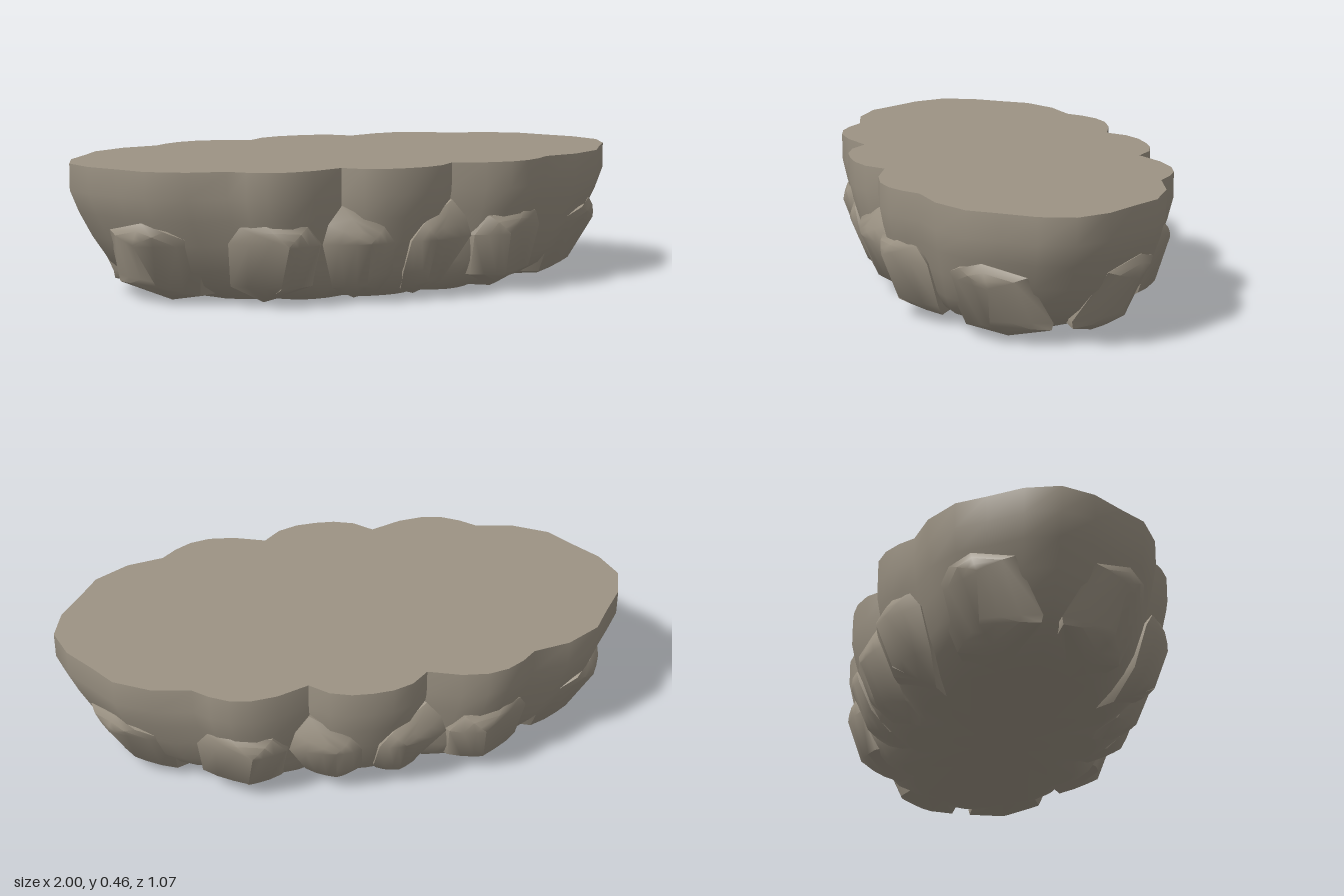
import * as THREE from 'three';
import { toCreasedNormals } from 'three/addons/utils/BufferGeometryUtils.js';

const stone = new THREE.MeshStandardMaterial({ color: 0x9c9384 });
stone.name = 'stone';

// One quarter of the lobed rim, as [x, z]
const rim = [[0, .535], [.07, .53], [.14, .505], [.2, .45], [.31, .49], [.4, .5], [.47, .485], [.53, .45],
  [.58, .405], [.71, .38], [.83, .31], [.89, .22], [.965, .115], [1, 0]];

// Side profile, as [scale, y]
const profile = [[.62, 0], [.72, .03], [.8, .065], [.865, .12], [.925, .21], [.97, .295], [1, .37], [1, .46]];

// Petals: outline and two crest points, as [x, y, z]
const petals = [
  { name: 'middlePetal',
    outline: [[.27, .21, .46], [.25, .275, .46], [.2, .335, .455], [.07, .265, .51], [.03, .21, .505],
      [.02, .1, .46], [.04, .03, .39], [.11, 0, .335], [.2, .045, .37]],
    crest: [[.11, .065, .46], [.12, .215, .52]] },
  { name: 'sidePetal',
    outline: [[.57, .22, .38], [.54, .275, .41], [.47, .285, .455], [.33, .275, .48], [.28, .21, .465],
      [.29, .065, .41], [.42, 0, .3], [.55, .07, .34]],
    crest: [[.41, .065, .445], [.4, .215, .5]] },
  { name: 'endPetal',
    outline: [[.9, .25, .13], [.83, .285, .26], [.77, .26, .32], [.65, .21, .345], [.63, .03, .265],
      [.69, 0, .14], [.84, .055, .035], [.845, .08, .03]],
    crest: [[.77, .065, .22], [.855, .21, .245]] },
];

// Skins a stack of closed rings, with optional flat ends
function loft(rings, flip, capStart, capEnd, crease) {
  const n = rings[0].length, pos = rings.flat(2), index = [];
  const tri = (a, b, c) => flip ? index.push(a, c, b) : index.push(a, b, c);
  for (let r = 0; r < rings.length - 1; r++) {
    for (let i = 0; i < n; i++) {
      const j = (i + 1) % n, a = r * n, b = a + n;
      tri(a + i, a + j, b + j);
      tri(a + i, b + j, b + i);
    }
  }
  const cap = (ring, start, down) => {
    const c = pos.length / 3;
    pos.push(0, ring[0][1], 0);
    for (let i = 0; i < n; i++) {
      const j = (i + 1) % n;
      down ? tri(c, start + j, start + i) : tri(c, start + i, start + j);
    }
  };
  if (capStart) cap(rings[0], 0, true);
  if (capEnd) cap(rings[rings.length - 1], (rings.length - 1) * n, false);
  const g = new THREE.BufferGeometry();
  g.setAttribute('position', new THREE.Float32BufferAttribute(pos, 3));
  g.setIndex(index);
  return toCreasedNormals(g, crease);
}

// Lobed bowl with a flat top and base
function bodyGeometry() {
  const half = [...rim, ...rim.slice(0, -1).reverse().map(([x, z]) => [x, -z])];
  const loop = [...half, ...half.slice(1, -1).reverse().map(([x, z]) => [-x, z])];
  // loop runs from +z through +x, so it is counter-clockwise from above
  return loft(profile.map(([s, y]) => loop.map(([x, z]) => [x * s, y, z * s])), false, true, true, .75);
}

// Bulging petal whose edge sinks into the bowl
function petalGeometry({ outline, crest }, sx, sz) {
  const low = new THREE.Vector3(...crest[0]), high = new THREE.Vector3(...crest[1]);
  const rings = [[], [], [], [], []];
  for (const p of outline) {
    const v = new THREE.Vector3(...p);
    const top = low.clone().lerp(high, THREE.MathUtils.clamp((v.y - .065) / .15, 0, 1));
    const out = new THREE.Vector3(v.x * .5, 0, v.z).normalize();
    const at = (t, lift) => v.clone().lerp(top, t).addScaledVector(out, lift);
    const sunk = new THREE.Vector3(v.x * .8, v.y, v.z * .8);
    [sunk, v, at(.35, .008), at(.7, .006), top].forEach((q, k) => rings[k].push([q.x * sx, q.y, q.z * sz]));
  }
  return loft(rings, sx * sz < 0, false, false, .8);
}

export function createModel() {
  const model = new THREE.Group();
  model.name = 'lobedBase';
  const add = (geometry, name) => {
    const mesh = new THREE.Mesh(geometry, stone);
    mesh.name = name;
    model.add(mesh);
  };
  add(bodyGeometry(), 'body');
  for (const petal of petals)
    for (const sx of [1, -1])
      for (const sz of [1, -1])
        add(petalGeometry(petal, sx, sz),
          petal.name + (sz > 0 ? 'Front' : 'Back') + (sx > 0 ? 'Left' : 'Right'));
  return model;
}
